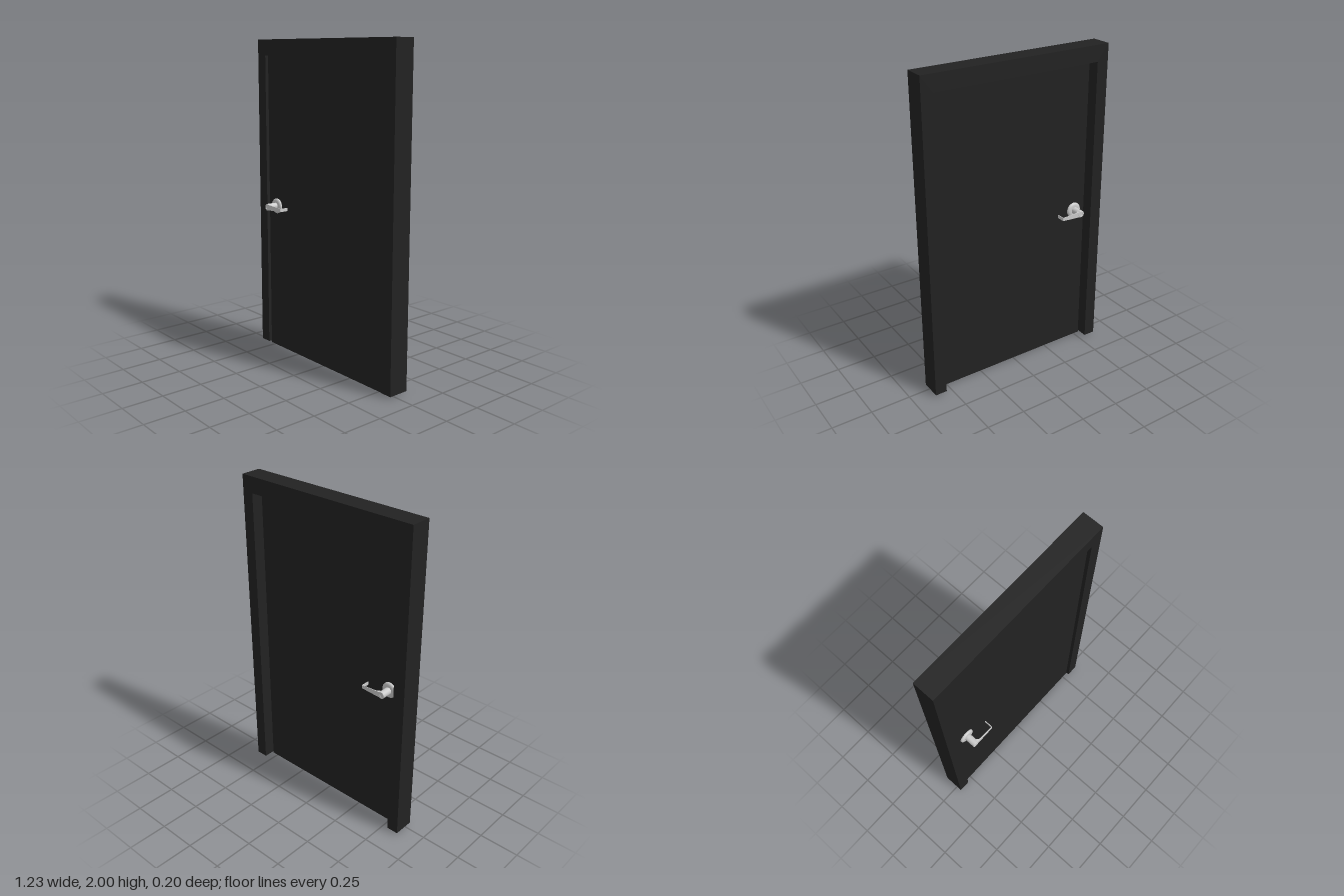
import * as THREE from 'three';

const dark = new THREE.MeshStandardMaterial({ color: 0x222222 });
const metal = new THREE.MeshStandardMaterial({ color: 0xcccccc });

function add(parent, name, geometry, material) {
  const mesh = new THREE.Mesh(geometry, material);
  mesh.name = name;
  parent.add(mesh);
  return mesh;
}

function shapeFrom(points) {
  return new THREE.Shape(points.map(([x, y]) => new THREE.Vector2(x, y)));
}

// Frame: an upside-down U, deeper behind the door than in front of it
function buildFrame() {
  const w = 0.615, inner = 0.54, foot = 0.012, head = 1.9;
  const shape = shapeFrom([
    [-w, foot], [-inner, foot], [-inner, head], [inner, head],
    [inner, foot], [w, foot], [w, 2], [-w, 2],
  ]);
  const geometry = new THREE.ExtrudeGeometry(shape, { depth: 0.13, bevelEnabled: false });
  return geometry.translate(0, 0, -0.091);
}

// Lever: thin bent strip drawn from above, then tapered in height towards the tip
function buildLever() {
  const shape = shapeFrom([
    [0, 0.1], [0.138, 0.1], [0.14, 0.098], [0.14, 0.045], [0.136, 0.045], [0.136, 0.096],
    [0.06, 0.096], [0.035, 0.094], [0.027, 0.091], [0.022, 0.084], [0, 0.084],
  ]);
  const geometry = new THREE.ExtrudeGeometry(shape, { depth: 1, bevelEnabled: false });
  const p = geometry.attributes.position;
  for (let i = 0; i < p.count; i++) {
    const x = p.getX(i), z = p.getY(i);
    const half = THREE.MathUtils.lerp(0.018, 0.01, x / 0.14);
    p.setXYZ(i, x, (0.5 - p.getZ(i)) * 2 * half, z);
  }
  geometry.computeVertexNormals();
  return geometry;
}

// Turned part whose axis points out of the door along z
function turned(profile) {
  const points = profile.map(([r, h]) => new THREE.Vector2(r, h));
  return new THREE.LatheGeometry(points, 40).rotateX(Math.PI / 2);
}

function buildHandle() {
  const handle = new THREE.Group();
  add(handle, 'rose', turned([
    [0.048, 0.015], [0.048, 0.024], [0.048, 0.024], [0.045, 0.029],
    [0.038, 0.032], [0.03, 0.033], [0.02, 0.033],
  ]), metal);
  add(handle, 'neck', turned([
    [0.022, 0.03], [0.022, 0.098], [0.022, 0.098], [0.02, 0.1], [0.02, 0.1],
    [0.011, 0.1], [0.011, 0.1], [0.01, 0.098], [0.01, 0.098], [0, 0.098],
  ]), metal);
  // the strip starts at the neck's side so the end button stays visible
  const lever = add(handle, 'lever', buildLever(), metal);
  lever.position.z = -0.0005;
  return handle;
}

export function createModel() {
  const model = new THREE.Group();
  model.name = 'door';
  add(model, 'frame', buildFrame(), dark);

  // Door leaf, reaching just below the frame's feet
  const leaf = add(model, 'doorLeaf', new THREE.BoxGeometry(1.082, 1.902, 0.035), dark);
  leaf.position.y = 0.951;

  // One lever handle on each face, both pointing to the middle of the door
  for (const [name, turn] of [['frontHandle', 0], ['backHandle', Math.PI]]) {
    const handle = buildHandle();
    handle.name = name;
    handle.position.set(-0.458, 0.95, 0);
    handle.rotation.x = turn;
    model.add(handle);
  }
  return model;
}
